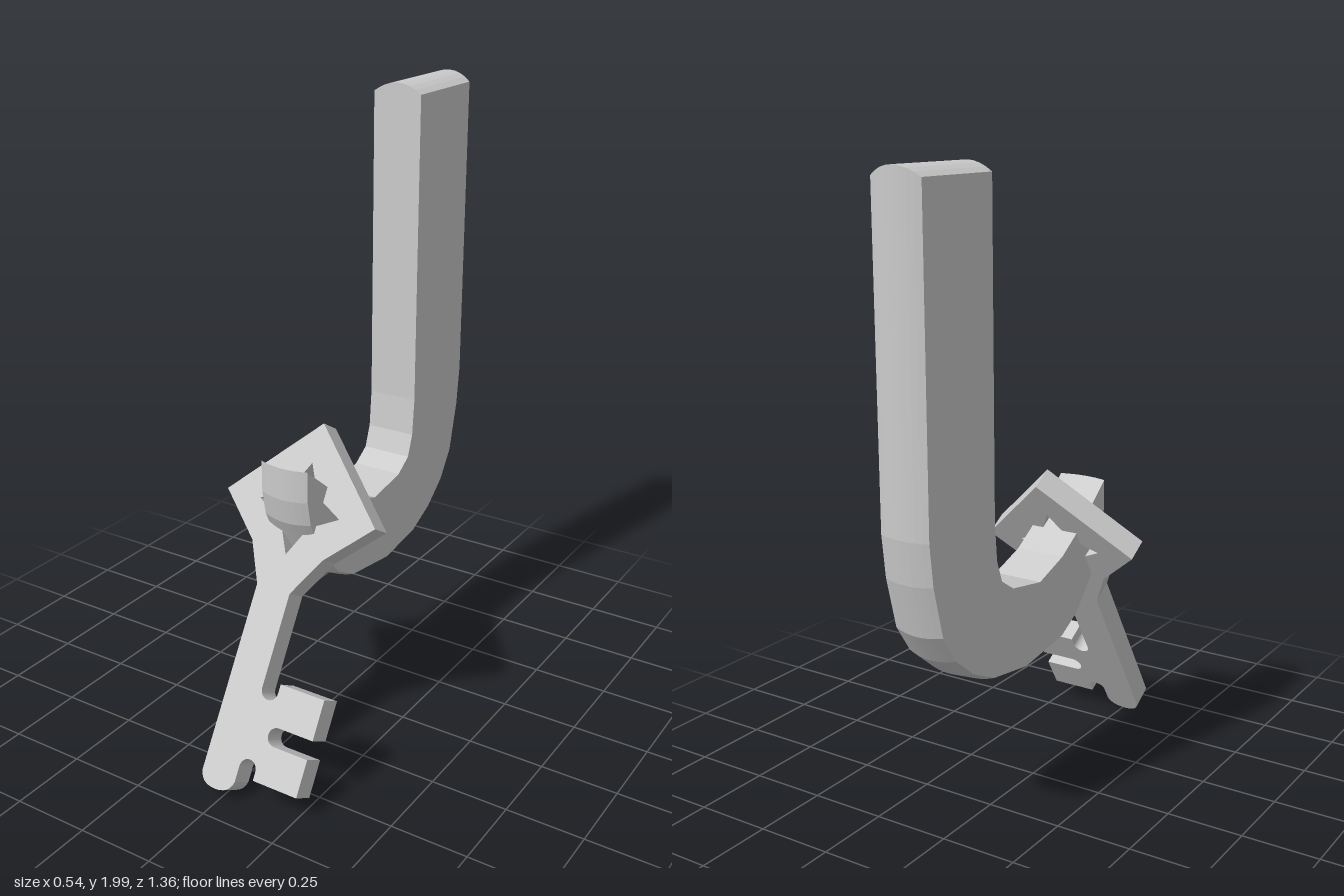
import * as THREE from 'three';

const material = new THREE.MeshStandardMaterial({ color: 0xcccccc, flatShading: true });

// Flat-sided hook whose outer face and top end are arched across its width
function hookGeometry() {
  const inner = [[0.345, 1.97], [0.345, 0.98], [0.335, 0.86], [0.31, 0.79], [0.25, 0.75],
    [0.10, 0.725], [-0.03, 0.77], [-0.11, 0.82], [-0.18, 0.87]];
  const outer = [[-0.29, 0.96], [-0.29, 0.86], [-0.275, 0.78], [-0.215, 0.66], [-0.12, 0.555],
    [-0.03, 0.505], [0.18, 0.475], [0.355, 0.50], [0.46, 0.55], [0.545, 0.62], [0.605, 0.71],
    [0.645, 0.87], [0.66, 1.0], [0.66, 1.97]];
  const outline = [...inner, ...outer].map(p => new THREE.Vector2(...p));
  const count = outline.length, rows = 8, left = -0.09, width = 0.165;

  // Outline point i at row j, pushed outwards by the arch
  const point = (i, j) => {
    const p = outline[i % count], t = j / rows * 2 - 1, arch = 1 - t * t;
    const push = new THREE.Vector2();
    if (i % count >= inner.length) {
      push.set(p.x - 0.18, p.y - Math.max(0.98, p.y)).setY(Math.min(0, p.y - 0.98));
      push.setLength(0.016);
    }
    if (p.y > 1.9) push.y += 0.03;
    return [left + width * j / rows, p.y + push.y * arch, -(p.x + push.x * arch)];
  };

  const positions = [];
  const triangle = (a, b, c) => positions.push(...a, ...b, ...c);
  for (let i = 0; i < count; i++) {
    for (let j = 0; j < rows; j++) {
      const a = point(i, j), b = point(i + 1, j), c = point(i + 1, j + 1), d = point(i, j + 1);
      triangle(a, b, c);
      triangle(a, c, d);
    }
  }
  // Flat sides
  for (const [a, b, c] of THREE.ShapeUtils.triangulateShape(outline, [])) {
    triangle(point(a, rows), point(b, rows), point(c, rows));
    triangle(point(c, 0), point(b, 0), point(a, 0));
  }
  const geometry = new THREE.BufferGeometry();
  geometry.setAttribute('position', new THREE.Float32BufferAttribute(positions, 3));
  geometry.computeVertexNormals();
  return geometry;
}

// Key plate: diamond bow, narrow shaft, two teeth
function keyGeometry() {
  const shape = new THREE.Shape();
  shape.moveTo(0, 1.146);
  shape.lineTo(-0.27, 0.877);
  shape.lineTo(-0.13, 0.745);
  shape.lineTo(-0.068, 0.62);
  shape.lineTo(-0.068, 0.04);
  // Rounded tip
  shape.quadraticCurveTo(-0.06, 0, -0.01, 0);
  shape.quadraticCurveTo(0.042, 0, 0.052, 0.04);
  // Lower notch, rounded at its top
  shape.lineTo(0.052, 0.09);
  shape.absarc(0.081, 0.09, 0.029, Math.PI, 0, true);
  shape.lineTo(0.11, 0.064);
  // Lower tooth, slot, upper tooth
  shape.lineTo(0.265, 0.064);
  shape.lineTo(0.265, 0.178);
  shape.lineTo(0.145, 0.178);
  shape.absarc(0.145, 0.206, 0.028, -Math.PI / 2, Math.PI / 2, true);
  shape.lineTo(0.265, 0.234);
  shape.lineTo(0.265, 0.357);
  shape.lineTo(0.11, 0.357);
  // Upper notch, rounded at its bottom
  shape.lineTo(0.11, 0.33);
  shape.absarc(0.081, 0.33, 0.029, 0, -Math.PI, true);
  shape.lineTo(0.052, 0.62);
  shape.lineTo(0.13, 0.745);
  shape.lineTo(0.27, 0.877);
  shape.closePath();

  // Four-pointed star opening
  const star = [];
  for (let i = 0; i < 8; i++) {
    const r = i % 2 ? 0.071 : 0.145, a = i * Math.PI / 4;
    star.push(new THREE.Vector2(r * Math.cos(a), 0.875 + r * Math.sin(a)));
  }
  shape.holes.push(new THREE.Path(star));

  return new THREE.ExtrudeGeometry(shape, { depth: 0.08, bevelEnabled: false, curveSegments: 6 })
    .translate(0, 0, -0.08);
}

export function createModel() {
  const model = new THREE.Group();
  model.name = 'keyOnHook';

  const hook = new THREE.Mesh(hookGeometry(), material);
  hook.name = 'hook';

  // The key leans back, hanging from the hook by its bow
  const key = new THREE.Mesh(keyGeometry(), material);
  key.name = 'key';
  key.position.set(0, 0.05, 0.68);
  key.rotation.x = -0.546;

  model.add(hook, key);
  return model;
}
